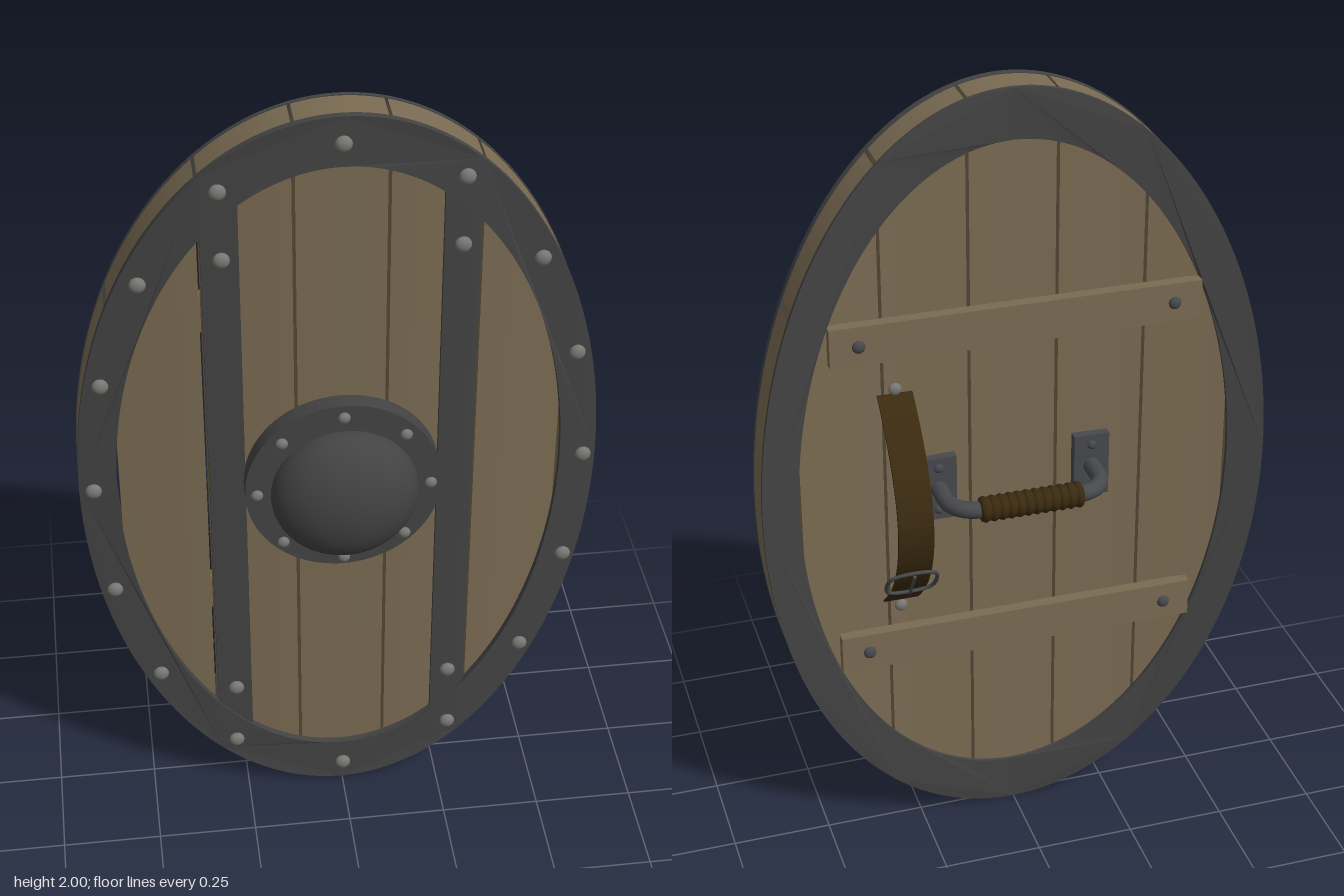
import * as THREE from 'three';

const BEND = 0.13; // the shield curves back as z = -BEND * x^2
const RX = 0.637, RY = 1.0;

export function createModel() {
  const shield = new THREE.Group();
  shield.name = 'shield';
  const mat = (name, color) => {
    const m = new THREE.MeshStandardMaterial({ color });
    m.name = name;
    return m;
  };
  const wood = mat('plank wood', 0x7a6b52);
  const iron = mat('dark iron', 0x434343);
  const steel = mat('rivet steel', 0x777873);
  const handleIron = mat('handle iron', 0x47494d);
  const leather = mat('leather', 0x3a2a10);

  const add = (name, geo, material, x = 0, y = 0, z = 0, parent = shield) => {
    const m = new THREE.Mesh(geo, material);
    m.name = name;
    m.position.set(x, y, z);
    parent.add(m);
    return m;
  };

  // Extrude a flat outline from zBack to zFront, then curve it
  const bent = (shape, zBack, zFront) => {
    const g = new THREE.ExtrudeGeometry(shape, { depth: zFront - zBack, bevelEnabled: false, curveSegments: 96 });
    const p = g.attributes.position;
    for (let i = 0; i < p.count; i++) {
      p.setZ(i, p.getZ(i) + zBack - BEND * p.getX(i) ** 2);
    }
    g.computeVertexNormals();
    return g;
  };

  // Vertical slice of an ellipse between x0 and x1
  const slice = (x0, x1, rx, ry) => {
    const a0 = Math.acos(Math.min(1, x1 / rx)), a1 = Math.acos(Math.max(-1, x0 / rx));
    const top = [], n = 14;
    for (let i = 0; i <= n; i++) {
      const a = a0 + (a1 - a0) * i / n;
      top.push(new THREE.Vector2(rx * Math.cos(a), ry * Math.sin(a)));
    }
    const bottom = top.filter(p => p.y > 1e-6).reverse().map(p => new THREE.Vector2(p.x, -p.y));
    return new THREE.Shape([...top, ...bottom]);
  };

  // Seven planks with narrow gaps
  const cuts = [-RX, -0.542, -0.325, -0.109, 0.109, 0.325, 0.542, RX];
  for (let i = 0; i < 7; i++) {
    const x0 = cuts[i] + (i ? 0.004 : 0.002), x1 = cuts[i + 1] - (i < 6 ? 0.004 : 0.002);
    add('plank', bent(slice(x0, x1, RX - 0.002, RY - 0.002), -0.014, 0.07), wood, 0, 1, 0);
  }

  // Iron rims on the front and back
  const ring = new THREE.Shape().absellipse(0, 0, RX, RY, 0, Math.PI * 2);
  ring.holes.push(new THREE.Path().absellipse(0, 0, 0.545, 0.875, 0, Math.PI * 2, true));
  add('frontRim', bent(ring, 0.07, 0.088), iron, 0, 1, 0);
  add('backRim', bent(ring, -0.023, -0.012), iron, 0, 1, 0);

  // Domed rivets, flattened along z
  const rivetGeo = new THREE.SphereGeometry(1, 16, 10);
  const rivet = (name, x, y, z, r = 0.02, material = steel) =>
    add(name, rivetGeo, material, x, y, z).scale.set(r, r, r * 0.65);
  const frontZ = x => 0.102 - BEND * x * x;

  const quarter = [0, 19.3, 39.1, 62.3].map(THREE.MathUtils.degToRad);
  const angles = [Math.PI / 2, -Math.PI / 2, 0, Math.PI];
  for (const a of quarter.slice(1)) angles.push(a, -a, Math.PI - a, Math.PI + a);
  for (const a of angles) {
    const x = 0.602 * Math.cos(a);
    rivet('rimRivet', x, 1.003 + 0.937 * Math.sin(a), frontZ(x));
  }

  // Vertical iron bands
  for (const s of [-1, 1]) {
    const x0 = s > 0 ? 0.235 : -0.322;
    add('verticalBand', bent(slice(x0, x0 + 0.087, 0.57, 0.9), 0.068, 0.083), iron, 0, 1, 0);
    for (const y of [0.355, 1.655]) rivet('bandRivet', s * 0.276, y, frontZ(0.276) - 0.002);
  }

  // Central boss: flange, rivets and dome
  const flange = new THREE.Shape().absarc(0, 0, 0.24, 0, Math.PI * 2);
  flange.holes.push(new THREE.Path().absarc(0, 0, 0.165, 0, Math.PI * 2, true));
  add('bossFlange', new THREE.ExtrudeGeometry(flange, {
    depth: 0.047, bevelEnabled: false, curveSegments: 48,
  }), iron, 0, 1.005, 0.068);
  for (let i = 0; i < 8; i++) {
    const a = i * Math.PI / 4;
    rivet('bossRivet', 0.212 * Math.cos(a), 1.003 + 0.212 * Math.sin(a), 0.122, 0.015);
  }
  const dome = new THREE.SphereGeometry(0.18, 48, 20, 0, Math.PI * 2, 0, Math.PI / 2);
  dome.scale(1, 0.107 / 0.18, 1).rotateX(Math.PI / 2);
  add('bossDome', dome, iron, 0, 1.003, 0.13);
  add('bossDomeBase', new THREE.CircleGeometry(0.18, 48).rotateY(Math.PI), iron, 0, 1.003, 0.13);

  // Straight wooden battens across the back
  for (const y of [0.576, 1.43]) {
    add('batten', new THREE.BoxGeometry(0.914, 0.1, 0.03), wood, 0, y, -0.053);
    for (const x of [-0.388, 0.388]) rivet('battenRivet', x, y, -0.07, 0.016, handleIron);
  }

  // Hand grip with mounting plates and leather wrap
  const v = (x, z) => new THREE.Vector3(x, 0, z);
  const path = new THREE.CurvePath();
  path.add(new THREE.LineCurve3(v(-0.195, -0.025), v(-0.195, -0.09)));
  path.add(new THREE.CubicBezierCurve3(v(-0.195, -0.09), v(-0.195, -0.135), v(-0.165, -0.165), v(-0.115, -0.165)));
  path.add(new THREE.LineCurve3(v(-0.115, -0.165), v(0.115, -0.165)));
  path.add(new THREE.CubicBezierCurve3(v(0.115, -0.165), v(0.165, -0.165), v(0.195, -0.135), v(0.195, -0.09)));
  path.add(new THREE.LineCurve3(v(0.195, -0.09), v(0.195, -0.025)));
  const grip = new THREE.Group();
  grip.name = 'handGrip';
  grip.position.y = 1;
  shield.add(grip);
  add('gripBar', new THREE.TubeGeometry(path, 64, 0.021, 14), handleIron, 0, 0, 0, grip);
  add('gripCore', new THREE.CylinderGeometry(0.029, 0.029, 0.25, 20).rotateZ(Math.PI / 2), leather, 0, 0, -0.165, grip);
  const coil = new THREE.TorusGeometry(0.0215, 0.0115, 8, 20).rotateY(Math.PI / 2);
  for (let i = 0; i < 12; i++) add('gripWrap', coil, leather, -0.118 + i * 0.02145, 0, -0.165, grip);
  for (const x of [-0.195, 0.195]) {
    add('gripPlate', new THREE.BoxGeometry(0.09, 0.17, 0.024), handleIron, x, 0, -0.03, grip);
    for (const y of [-0.058, 0.058]) rivet('plateRivet', x, 1 + y, -0.043, 0.012, handleIron);
  }

  // Bowed leather arm strap
  const bow = (y, offset) => new THREE.Vector2(0.232 - 0.17 * (y / 0.287) ** 2 + offset, y);
  const outer = [], inner = [];
  for (let i = 0; i <= 32; i++) {
    const y = -0.287 + 0.574 * i / 32;
    outer.push(bow(y, 0.004));
    inner.unshift(bow(y, -0.004));
  }
  const strap = new THREE.ExtrudeGeometry(new THREE.Shape([...outer, ...inner]), { depth: 0.086, bevelEnabled: false });
  strap.rotateY(Math.PI / 2);
  add('armStrap', strap, leather, 0.261, 1.003, 0);
  for (const y of [0.7, 1.305]) rivet('strapRivet', 0.304, y, -0.066, 0.016);

  // Strap buckle with its pin
  const buckle = new THREE.Group();
  buckle.name = 'buckle';
  buckle.position.set(0.304, 0.835, -0.178);
  buckle.rotation.x = -0.59;
  shield.add(buckle);
  const corners = [[-0.058, -0.03], [-0.04, -0.048], [0.04, -0.048], [0.058, -0.03],
    [0.058, 0.03], [0.04, 0.048], [-0.04, 0.048], [-0.058, 0.03]];
  const loop = new THREE.CatmullRomCurve3(corners.map(([x, y]) => new THREE.Vector3(x, y, 0)), true);
  add('buckleFrame', new THREE.TubeGeometry(loop, 64, 0.005, 8, true), handleIron, 0, 0, 0, buckle);
  add('bucklePin', new THREE.CylinderGeometry(0.004, 0.004, 0.096, 8), handleIron, 0, 0, -0.007, buckle);

  return shield;
}
